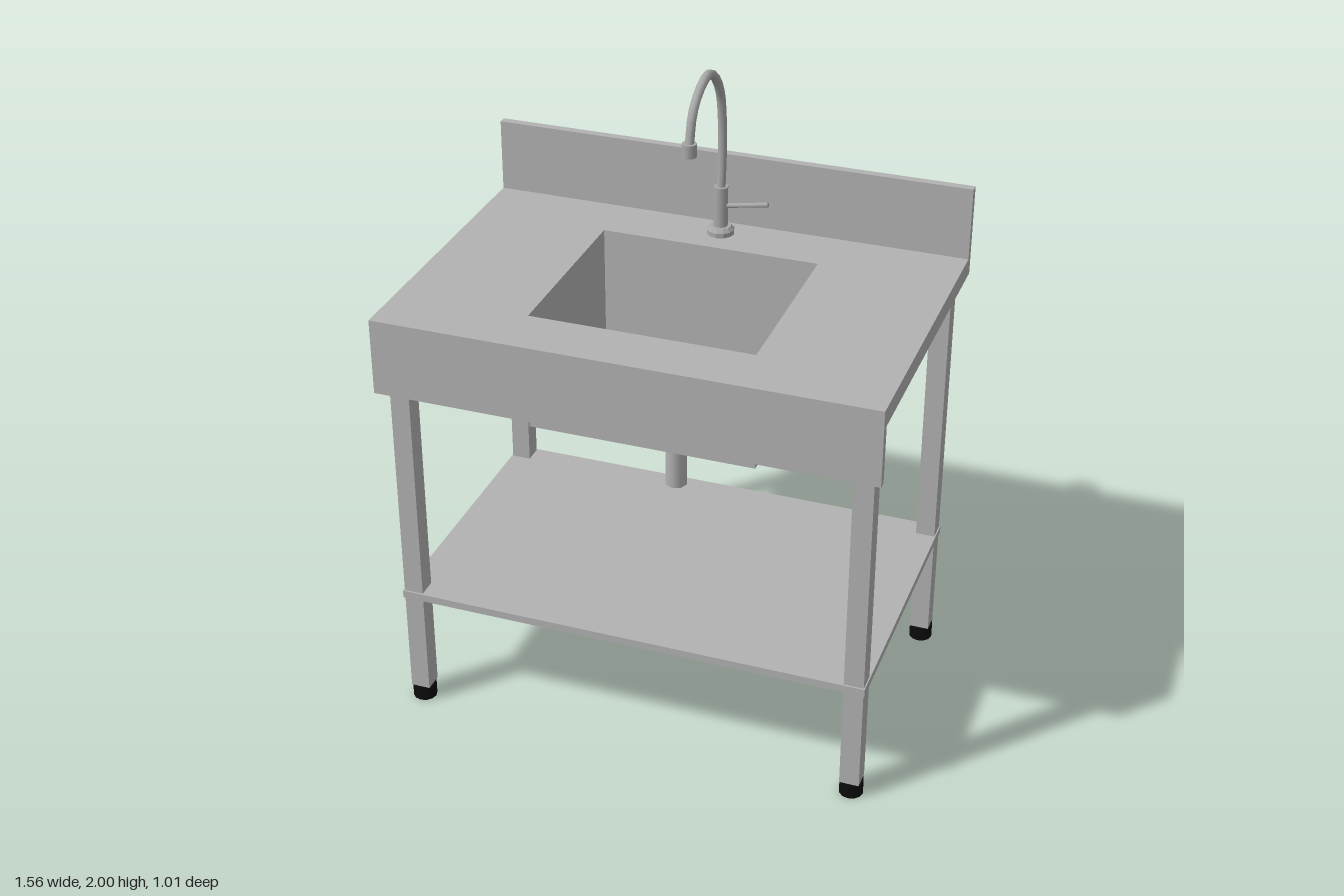
import * as THREE from 'three';

export function createModel() {
  const model = new THREE.Group();
  const steel = new THREE.MeshStandardMaterial({ color: 0xb2b2b2 });
  steel.name = 'brushed steel';
  const chrome = new THREE.MeshStandardMaterial({ color: 0xa8a8a8 });
  chrome.name = 'tap metal';
  const rubber = new THREE.MeshStandardMaterial({ color: 0x0c0c0c });
  rubber.name = 'black rubber';

  const add = (name, geometry, material) => {
    const mesh = new THREE.Mesh(geometry, material);
    mesh.name = name;
    model.add(mesh);
    return mesh;
  };

  // Box given by its limits on each axis
  const box = (name, [x0, x1], [y0, y1], [z0, z1], material = steel) =>
    add(name, new THREE.BoxGeometry(x1 - x0, y1 - y0, z1 - z0), material)
      .position.set((x0 + x1) / 2, (y0 + y1) / 2, (z0 + z1) / 2);

  // Upright cylinder between two heights
  const post = (name, r, y0, y1, x, z, sides, material) =>
    add(name, new THREE.CylinderGeometry(r, r, y1 - y0, sides), material)
      .position.set(x, (y0 + y1) / 2, z);

  // Horizontal rectangular frame: outer and inner are [halfWidth, zBack, zFront]
  const rectangle = (path, [w, z0, z1]) => {
    path.moveTo(-w, -z1);
    path.lineTo(w, -z1);
    path.lineTo(w, -z0);
    path.lineTo(-w, -z0);
    path.closePath();
    return path;
  };
  const frame = (name, outer, inner, y0, y1) => {
    const shape = rectangle(new THREE.Shape(), outer);
    shape.holes.push(rectangle(new THREE.Path(), inner));
    const geometry = new THREE.ExtrudeGeometry(shape, { depth: y1 - y0, bevelEnabled: false });
    geometry.rotateX(-Math.PI / 2);
    add(name, geometry, steel).position.y = y0;
  };

  // Worktop with the basin opening, front apron and splashback
  const opening = [0.352, -0.292, 0.32];
  frame('worktop', [0.78, -0.505, 0.505], opening, 1.345, 1.405);
  box('frontApron', [-0.78, 0.78], [1.16, 1.345], [0.478, 0.505]);
  box('splashback', [-0.78, 0.78], [1.405, 1.64], [-0.505, -0.478]);

  // Basin and waste pipe
  frame('basinWalls', [0.358, -0.298, 0.328], opening, 1.036, 1.345);
  box('basinFloor', [-0.358, 0.358], [1.03, 1.036], [-0.298, 0.328]);
  post('wastePipe', 0.036, 0.72, 1.03, 0, 0.015, 8, steel);

  // Legs with rubber feet, and the lower shelf
  for (const x of [-0.72, 0.72]) {
    for (const z of [-0.43, 0.43]) {
      box('leg', [x - 0.031, x + 0.031], [0.05, 1.345], [z - 0.031, z + 0.031]);
      post('foot', 0.038, 0, 0.05, x, z, 12, rubber);
    }
  }
  box('shelf', [-0.755, 0.755], [0.398, 0.423], [-0.467, 0.467]);

  // Tap: base, body, gooseneck spout and nozzle
  const tapZ = -0.4;
  const base = [[0, 0], [0.044, 0], [0.044, 0.015], [0.034, 0.027], [0, 0.027]]
    .map(([r, y]) => new THREE.Vector2(r, y));
  const baseGeometry = new THREE.LatheGeometry(base, 12).toNonIndexed();
  baseGeometry.computeVertexNormals();
  add('tapBase', baseGeometry, chrome).position.set(0, 1.405, tapZ);
  post('tapBody', 0.023, 1.43, 1.565, 0, tapZ, 12, chrome);

  const spoutPoints = [
    [1.55, -0.4], [1.68, -0.41], [1.79, -0.405], [1.88, -0.385], [1.95, -0.335],
    [1.985, -0.27], [1.965, -0.19], [1.915, -0.13], [1.82, -0.1],
  ].map(([y, z]) => new THREE.Vector3(0, y, z));
  const spoutCurve = new THREE.CatmullRomCurve3(spoutPoints);
  add('spout', new THREE.TubeGeometry(spoutCurve, 20, 0.0145, 10), chrome);
  post('nozzle', 0.023, 1.79, 1.832, 0, -0.1, 12, chrome);

  // Side lever, rising slightly towards its tip
  const leverLine = new THREE.LineCurve3(
    new THREE.Vector3(0.01, 1.5, tapZ), new THREE.Vector3(0.155, 1.525, tapZ));
  const lever = add('lever', new THREE.CylinderGeometry(0.008, 0.008, leverLine.getLength(), 8), chrome);
  lever.position.copy(leverLine.getPoint(0.5));
  lever.quaternion.setFromUnitVectors(new THREE.Vector3(0, 1, 0), leverLine.getTangent(0));

  return model;
}
